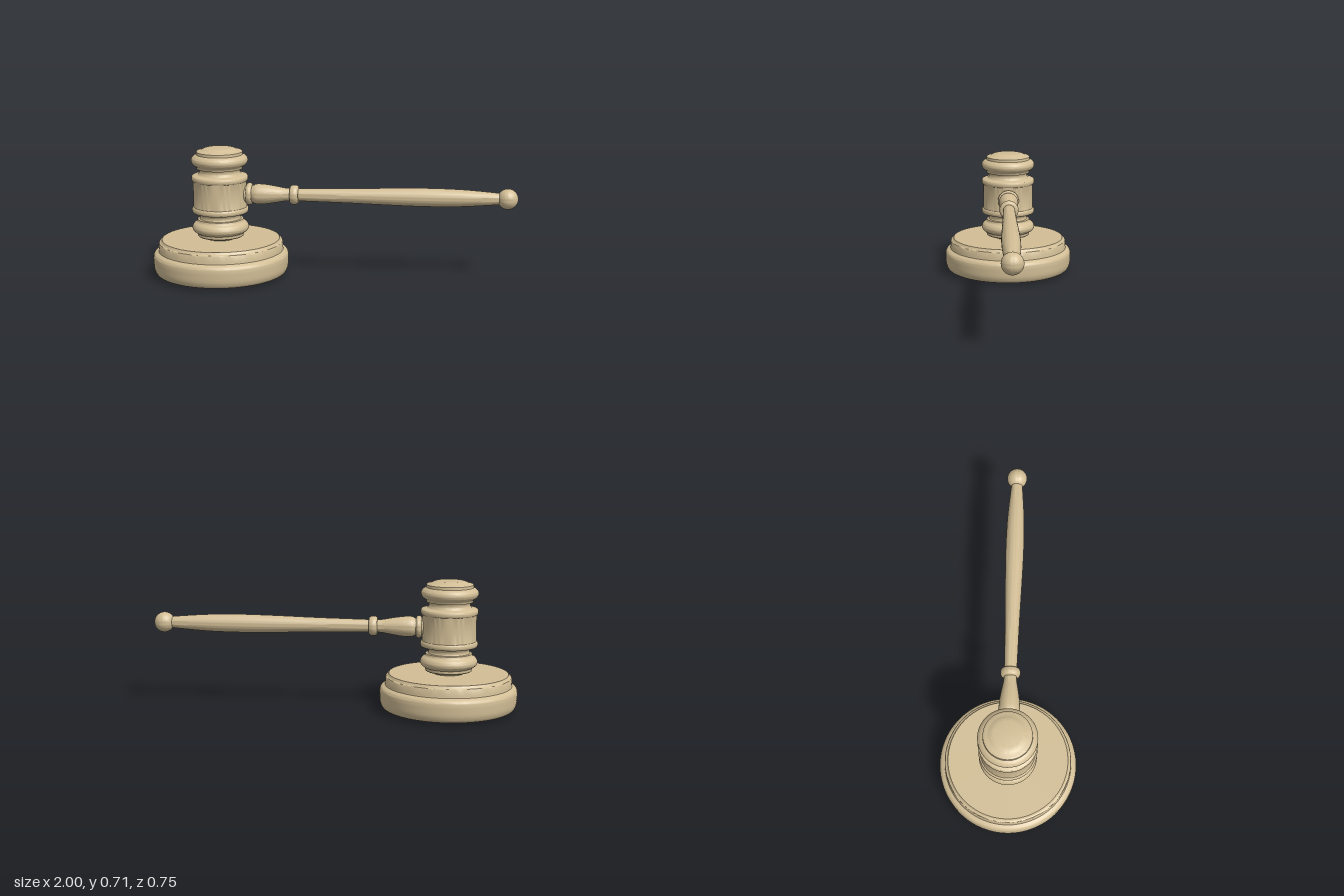
import * as THREE from 'three';
import { toCreasedNormals } from 'three/addons/utils/BufferGeometryUtils.js';

const AXIS_X = -0.627; // shared axis of head and block
const HEAD_Y = 0.456;  // height of the handle axis

const wood = new THREE.MeshStandardMaterial({ color: 0xd2be96 });

// Turned part: profile of [radius, height] points listed from bottom to top
function turned(name, profile, segments = 72) {
  const points = profile.map(([r, y]) => new THREE.Vector2(r, y));
  const geometry = toCreasedNormals(new THREE.LatheGeometry(points, segments), 0.7);
  const mesh = new THREE.Mesh(geometry, wood);
  mesh.name = name;
  return mesh;
}

// Rounded bulge between two heights, as profile points
function bead(rBase, rPeak, y0, y1, steps = 10) {
  return Array.from({ length: steps + 1 }, (_, i) => {
    const a = (Math.PI * i) / steps;
    return [rBase + (rPeak - rBase) * Math.sin(a), (y0 + y1) / 2 - ((y1 - y0) / 2) * Math.cos(a)];
  });
}

// Smooth curve through a few profile points
function smooth(points, steps = 24) {
  const curve = new THREE.SplineCurve(points.map(([r, y]) => new THREE.Vector2(r, y)));
  return curve.getPoints(steps).map((p) => [p.x, p.y]);
}

export function createModel() {
  const model = new THREE.Group();
  model.name = 'gavelAndBlock';

  // Sounding block: wide rounded foot with a stepped top
  const block = turned('soundingBlock', [
    [0, 0], [0.26, 0.002], [0.32, 0.006],
    ...smooth([[0.343, 0.01], [0.36, 0.02], [0.371, 0.045], [0.374, 0.08], [0.374, 0.11], [0.367, 0.128], [0.345, 0.141]]),
    [0.343, 0.15], [0.343, 0.183],
    ...smooth([[0.34, 0.188], [0.331, 0.192], [0.325, 0.203]], 6),
    [0, 0.203],
  ], 96);
  block.position.x = AXIS_X;
  model.add(block);

  // Head: upper half profile measured from the handle axis, mirrored below
  const half = [
    [0.147, 0], [0.147, 0.071],
    ...bead(0.147, 0.156, 0.072, 0.104),
    [0.125, 0.106],
    ...smooth([[0.12, 0.108], [0.113, 0.118], [0.111, 0.13], [0.114, 0.139]], 8),
    [0.126, 0.141], [0.128, 0.152],
    ...smooth([[0.13, 0.155], [0.146, 0.165], [0.155, 0.182], [0.153, 0.199], [0.141, 0.212], [0.128, 0.219]], 16),
    [0.127, 0.234], [0.123, 0.238],
    ...smooth([[0.115, 0.24], [0.1, 0.244], [0.085, 0.251], [0.07, 0.254]], 8),
    [0, 0.254],
  ];
  const lower = half.slice(1).reverse().map(([r, y]) => [r, -y]);
  const head = turned('gavelHead', [...lower, ...half]);
  head.position.set(AXIS_X, HEAD_Y, 0);
  model.add(head);

  // Handle: turned along x, profile heights are x positions
  const handle = new THREE.Group();
  handle.name = 'handle';
  handle.add(
    turned('handleCollar', [[0, -0.52], [0.05, -0.52], ...bead(0.05, 0.061, -0.478, -0.448), [0, -0.448]], 48),
    turned('handleNeck', [
      [0, -0.45], [0.046, -0.45], [0.048, -0.438],
      ...smooth([[0.053, -0.433], [0.056, -0.415], [0.054, -0.375], [0.046, -0.32], [0.037, -0.27], [0.034, -0.235]]),
      [0.034, -0.22], [0, -0.22],
    ], 48),
    turned('handleRing', [[0, -0.238], ...bead(0.042, 0.054, -0.238, -0.192), [0, -0.192]], 48),
    turned('handleGrip', [
      [0, -0.2],
      ...smooth([[0.034, -0.2], [0.036, -0.1], [0.04, 0.1], [0.046, 0.3], [0.05, 0.5], [0.047, 0.68], [0.038, 0.82], [0.031, 0.9]], 40),
      [0, 0.9],
    ], 48),
    turned('handleKnob', bead(0, 0.056, 0.888, 1, 28), 48),
  );
  handle.rotation.z = -Math.PI / 2;
  handle.position.y = HEAD_Y;
  model.add(handle);

  return model;
}
